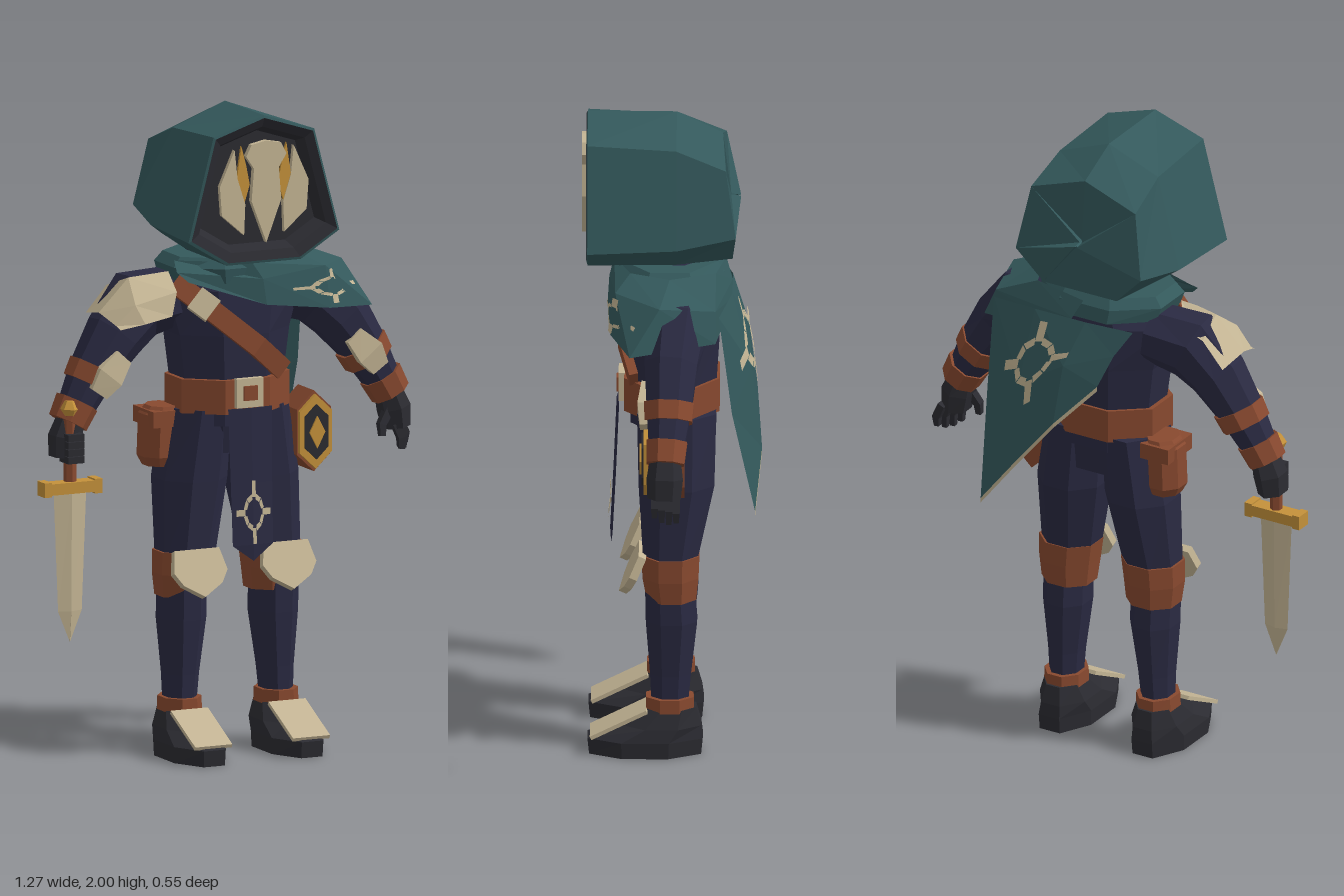
import * as THREE from 'three';

const mat = (name, color) => {
  const m = new THREE.MeshStandardMaterial({ color, flatShading: true, side: THREE.DoubleSide });
  m.name = name;
  return m;
};

// Loft of n-sided rings [x, y, z, lateral radius, depth radius] along a path
function tube(rings, n = 8, upright = false, ph = Math.PI / n) {
  const pos = [], idx = [], k = 1 / Math.cos(ph), Z = new THREE.Vector3(0, 0, 1);
  const P = rings.map(r => new THREE.Vector3(r[0], r[1], r[2]));
  rings.forEach((r, i) => {
    const T = P[Math.min(i + 1, P.length - 1)].clone().sub(P[Math.max(i - 1, 0)]).normalize();
    if (upright) T.set(0, Math.sign(P[P.length - 1].y - P[0].y), 0);
    const U = T.clone().cross(Z).normalize(), W = T.clone().cross(U);
    for (let j = 0; j < n; j++) {
      const a = ph + j / n * Math.PI * 2;
      const v = P[i].clone().addScaledVector(U, Math.cos(a) * k * r[3]).addScaledVector(W, Math.sin(a) * k * r[4]);
      pos.push(v.x, v.y, v.z);
    }
  });
  for (let i = 0; i + 1 < rings.length; i++) for (let j = 0; j < n; j++) {
    const a = i * n + j, b = i * n + (j + 1) % n;
    idx.push(a, b, b + n, a, b + n, a + n);
  }
  const e = (rings.length - 1) * n;
  for (let j = 1; j + 1 < n; j++) idx.push(0, j + 1, j, e, e + j, e + j + 1);
  return build(pos, idx);
}

function build(pos, idx) {
  let g = new THREE.BufferGeometry();
  g.setAttribute('position', new THREE.Float32BufferAttribute(pos, 3));
  g.setIndex(idx);
  g = g.toNonIndexed();
  g.computeVertexNormals();
  return g;
}

// Open surface through rows of points
function sheet(rows) {
  const idx = [], n = rows[0].length;
  for (let r = 0; r + 1 < rows.length; r++) for (let c = 0; c + 1 < n; c++) {
    const a = r * n + c;
    idx.push(a, a + n, a + n + 1, a, a + n + 1, a + 1);
  }
  return build(rows.flat(2), idx);
}

// Point on the surface through rows; u across, v down, both 0..1
function at(rows, u, v, off) {
  const pick = (t, n) => { const f = Math.min(Math.max(t, 0), 0.9999) * (n - 1); return [Math.floor(f), f % 1]; };
  const [r, fr] = pick(v, rows.length), [c, fc] = pick(u, rows[0].length);
  return [0, 1, 2].map(i => {
    const a = rows[r][c][i] * (1 - fc) + rows[r][c + 1][i] * fc;
    const b = rows[r + 1][c][i] * (1 - fc) + rows[r + 1][c + 1][i] * fc;
    return a * (1 - fr) + b * fr + off[i];
  });
}

// Woven star: broken ring with four spokes, laid on a surface
function emblem(rows, cu, cv, ru, rv, off) {
  const pos = [], idx = [];
  const quad = pts => {
    const b = pos.length / 3;
    pts.forEach(([r, a]) => pos.push(...at(rows, cu + Math.cos(a) * r * ru, cv + Math.sin(a) * r * rv, off)));
    idx.push(b, b + 2, b + 1, b, b + 3, b + 2);
  };
  for (let k = 0; k < 4; k++) {
    const a = k * Math.PI / 2;
    quad([[0.5, a - 0.22], [1, a - 0.1], [1, a + 0.1], [0.5, a + 0.22]]);
    for (const d of [0.2, 0.8]) quad([[0.42, a + d], [0.6, a + d], [0.6, a + d + 0.55], [0.42, a + d + 0.55]]);
  }
  return build(pos, idx);
}

function plate(pts, depth) {
  return new THREE.ExtrudeGeometry(new THREE.Shape(pts.map(p => new THREE.Vector2(...p))), { depth, bevelEnabled: false });
}

export function createModel() {
  const navy = mat('navy cloth', 0x2a2a42), teal = mat('teal cloth', 0x34595c), tan = mat('bone plate', 0xc4b594),
    brown = mat('brown leather', 0x88492f), gold = mat('gold', 0xc4913a), dark = mat('charcoal', 0x2b2b31);
  const root = new THREE.Group(), body = new THREE.Group();
  body.name = 'figure';
  body.position.x = 0.02;
  root.add(body);
  const add = (name, geo, m, x = 0, y = 0, z = 0) => {
    const mesh = new THREE.Mesh(geo, m);
    mesh.name = name;
    mesh.position.set(x, y, z);
    body.add(mesh);
    return mesh;
  };
  const box = (...s) => new THREE.BoxGeometry(...s);

  // Torso, hips and belt
  add('torso', tube([[0, 1.02, -0.01, 0.165, 0.13], [0, 1.14, -0.01, 0.165, 0.13], [0, 1.3, -0.01, 0.185, 0.14],
    [0, 1.44, -0.01, 0.225, 0.135], [0, 1.5, -0.01, 0.16, 0.12], [0, 1.58, 0, 0.09, 0.09]], 8, true), navy);
  add('hips', tube([[0, 0.93, -0.02, 0.14, 0.1], [0, 1.08, -0.01, 0.175, 0.13]], 8, true), navy);
  add('belt', tube([[0, 1.06, -0.005, 0.182, 0.145], [0, 1.165, -0.005, 0.182, 0.145]], 8, true), brown);
  add('buckle', box(0.09, 0.09, 0.02), tan, 0, 1.125, 0.147);
  add('buckleCentre', box(0.045, 0.045, 0.008), brown, 0, 1.125, 0.159);
  add('chestStrap', tube([[-0.215, 1.47, 0.07], [-0.12, 1.385, 0.142], [0.03, 1.265, 0.145], [0.13, 1.18, 0.11]]
    .map(p => [...p, 0.032, 0.014]), 4), brown);
  add('strapClasp', tube([[-0.165, 1.425, 0.11, 0.038, 0.018], [-0.12, 1.385, 0.145, 0.038, 0.018]], 4), tan);

  // Front tabard
  const tabard = [[1.08, 0.074, 0.155], [0.85, 0.07, 0.165], [0.66, 0.068, 0.175]]
    .map(([y, w, z]) => [[-w, y, z], [0, y, z + 0.008], [w, y, z]]);
  tabard.push([[-0.067, 0.659, 0.175], [0, 0.61, 0.18], [0.067, 0.659, 0.175]]);
  add('tabard', sheet(tabard), navy);
  add('tabardEmblem', emblem(tabard, 0.5, 0.49, 0.42, 0.17, [0, 0, 0.008]), tan);

  // Hood: outline rings running from the opening to the closed back
  const ring = (half, z, k = 1, cy = 1.77) => {
    const pts = [...half, ...half.slice(1).reverse().map(([x, y, d]) => [-x, y, d])];
    pts.push(pts[0]);
    return pts.map(([x, y, d = 0]) => [-x * k, cy + (y - cy) * k, z + d]);
  };
  const front = [[0, 2], [0.17, 1.945], [0.255, 1.625], [0.125, 1.545]];
  const mid = [[0, 1.998], [0.175, 1.93], [0.25, 1.635], [0.13, 1.55]];
  const back = [[0, 1.93, 0.04], [0.185, 1.87, 0.03], [0.222, 1.665], [0.13, 1.57, 0.01]];
  add('hood', sheet([ring(front, 0.253, 0.96), ring(front, 0.25), ring(mid, -0.02), ring(back, -0.2),
    ring(back, -0.215, 0.02, 1.73)]), teal);
  add('hoodLining', sheet([ring(front, 0.2, 0.02), ring(front, 0.2, 0.76), ring(front, 0.24, 0.84), ring(front, 0.254, 0.965)]), dark);

  // Mask and eyes
  add('maskCentre', plate([[-0.05, 1.915], [0, 1.925], [0.05, 1.915], [0.068, 1.88], [0.042, 1.84], [0.05, 1.74], [0, 1.61],
    [-0.05, 1.74], [-0.042, 1.84], [-0.068, 1.88]], 0.018), tan, 0, 0, 0.25);
  for (const s of [-1, 1]) {
    const flip = pts => pts.map(([x, y]) => [x * s, y]);
    add('maskCheek', plate(flip([[0.1, 1.9], [0.15, 1.79], [0.143, 1.7], [0.068, 1.635], [0.064, 1.73], [0.09, 1.81]]), 0.015), tan, 0, 0, 0.238);
    add('eye', plate(flip([[0.076, 1.91], [0.093, 1.8], [0.07, 1.72], [0.048, 1.79], [0.06, 1.85]]), 0.009), gold, 0, 0, 0.242);
  }

  // Collar and mantle over the left shoulder
  add('collar', tube([[0, 1.47, -0.005, 0.2, 0.165], [0, 1.515, 0, 0.215, 0.165], [0, 1.545, 0, 0.19, 0.145]], 8, true), teal);
  const mantle = [
    [[-0.22, 1.54, 0.08], [0, 1.53, 0.17], [0.18, 1.54, 0.12], [0.24, 1.54, 0], [0.18, 1.54, -0.14], [0, 1.53, -0.17]],
    [[-0.23, 1.51, 0.12], [0.03, 1.48, 0.185], [0.25, 1.5, 0.165], [0.37, 1.49, 0.03], [0.33, 1.47, -0.14], [0.03, 1.47, -0.19]],
    [[-0.2, 1.48, 0.14], [0.04, 1.4, 0.19], [0.26, 1.37, 0.18], [0.43, 1.355, 0.12], [0.37, 1.38, -0.14], [0.03, 1.42, -0.2]]];
  add('mantle', sheet(mantle), teal);
  add('mantleEmblem', emblem(mantle, 0.42, 0.76, 0.14, 0.2, [0.004, 0.005, 0.01]), tan);

  // Slanted half cape with hem
  const cape = [
    [[0.33, 1.45, -0.15], [0.16, 1.47, -0.19], [-0.02, 1.47, -0.19], [-0.17, 1.46, -0.16]],
    [[0.33, 1.14, -0.19], [0.18, 1.24, -0.25], [0.03, 1.33, -0.24], [-0.12, 1.38, -0.19]],
    [[0.31, 0.82, -0.26], [0.18, 0.98, -0.28], [0.05, 1.14, -0.265], [-0.08, 1.28, -0.22]]];
  add('cape', sheet(cape), teal);
  add('capeEmblem', emblem(cape, 0.42, 0.36, 0.25, 0.3, [0, 0, -0.01]), tan);
  add('capeHem', sheet([cape[2], cape[2].map(([x, y, z]) => [x, y - 0.015, z])]), tan);

  // Legs, arms and their guards on both sides
  for (const s of [-1, 1]) {
    const m = rings => rings.map(([x, ...r]) => [x * s, ...r]);
    add('thigh', tube(m([[0.095, 1.07, -0.02, 0.095, 0.12], [0.12, 0.85, -0.02, 0.106, 0.115], [0.145, 0.6, 0, 0.085, 0.08]]), 8, true), navy);
    add('kneeBand', tube(m([[0.15, 0.49, -0.005, 0.08, 0.075], [0.15, 0.56, -0.002, 0.088, 0.085], [0.145, 0.63, -0.002, 0.092, 0.088]]), 8, true), brown);
    const knee = add('kneeGuard', plate([[-0.075, 0.07], [0.075, 0.07], [0.09, 0], [0.065, -0.04], [0, -0.08], [-0.065, -0.04], [-0.09, 0]], 0.025),
      tan, 0.15 * s, 0.57, 0.1);
    knee.rotation.x = -0.42;
    add('shin', tube(m([[0.163, 0.15, 0, 0.046, 0.055], [0.16, 0.25, -0.002, 0.052, 0.062], [0.155, 0.42, -0.005, 0.07, 0.078],
      [0.155, 0.52, 0, 0.07, 0.075]]), 8, true), navy);
    add('ankleBand', tube(m([[0.163, 0.13, 0, 0.062, 0.073], [0.163, 0.178, 0, 0.06, 0.072]]), 8, true), brown);
    add('boot', tube(m([[0.165, 0, 0.075, 0.086, 0.17], [0.165, 0.05, 0.075, 0.088, 0.175], [0.163, 0.09, 0.025, 0.08, 0.12],
      [0.163, 0.145, -0.005, 0.058, 0.075]]), 8, true), dark);
    const toe = add('toePlate', box(0.125, 0.012, 0.19), tan, 0.165 * s, 0.1, 0.155);
    toe.rotation.x = 0.46;

    add('arm', tube(m([[0.17, 1.41, -0.03, 0.085, 0.09], [0.3, 1.395, -0.02, 0.105, 0.09], [0.38, 1.31, -0.005, 0.088, 0.08],
      [0.46, 1.2, 0, 0.068, 0.068], [0.54, 1.06, 0.01, 0.048, 0.048]])), navy);
    add('elbowBand', tube(m([[0.447, 1.215, 0, 0.078, 0.076], [0.475, 1.165, 0.002, 0.074, 0.072]])), brown);
    add('wristBand', tube(m([[0.512, 1.115, 0.006, 0.063, 0.062], [0.545, 1.055, 0.01, 0.058, 0.057]])), brown);
    add('forearmGuard', tube(m([[0.39, 1.255, 0.07, 0.03, 0.014], [0.44, 1.2, 0.08, 0.045, 0.016], [0.475, 1.15, 0.074, 0.03, 0.014]]), 4), tan);
    add('hand', tube(m([[0.535, 1.07, 0.01, 0.036, 0.04], [0.555, 1.01, 0.012, 0.045, 0.048], [0.562, 0.95, 0.014, 0.038, 0.044]]), 6), dark);
  }

  // Open left hand, and right hand closed on the grip
  for (let i = 0; i < 4; i++) {
    const z = 0.043 - i * 0.022, x = 0.545 + i * 0.015;
    add('finger', tube([[x, 0.965, z, 0.012, 0.011], [x + 0.02, 0.92, z, 0.012, 0.011], [x + 0.018, 0.875 + Math.abs(i - 1.5) * 0.01, z, 0.008, 0.008]], 4), dark);
    add('grippingFinger', box(0.055, 0.021, 0.06), dark, -0.55, 0.95 + i * 0.023, 0.05);
  }
  add('thumb', tube([[0.53, 1.01, 0.03, 0.014, 0.014], [0.5, 0.965, 0.04, 0.012, 0.012], [0.5, 0.93, 0.045, 0.009, 0.009]], 4), dark);

  // Short sword
  const sx = -0.555, sz = 0.045;
  add('swordGrip', tube([[sx, 0.86, sz, 0.017, 0.017], [sx, 1.1, sz, 0.017, 0.017]], 6), brown);
  add('swordPommel', tube([[sx, 1.085, sz, 0.02, 0.02], [sx, 1.105, sz, 0.028, 0.028], [sx, 1.13, sz, 0.014, 0.014]], 6), gold);
  add('swordGuard', box(0.16, 0.035, 0.05), gold, sx, 0.863, sz);
  for (const s of [-1, 1]) add('guardTip', box(0.025, 0.045, 0.052), gold, sx + s * 0.085, 0.863, sz);
  add('swordBlade', tube([[sx, 0.85, sz, 0.055, 0.014], [sx, 0.48, sz, 0.04, 0.011], [sx, 0.385, sz, 0.001, 0.001]], 4, false, 0), tan);

  // Right shoulder guard
  add('shoulderGuard', sheet([
    [[-0.44, 1.37, -0.08], [-0.37, 1.45, -0.08], [-0.3, 1.47, -0.07]],
    [[-0.45, 1.39, 0.03], [-0.35, 1.49, 0.03], [-0.22, 1.5, 0.04]],
    [[-0.43, 1.36, 0.11], [-0.37, 1.42, 0.12], [-0.23, 1.45, 0.12]],
    [[-0.425, 1.35, 0.13], [-0.35, 1.365, 0.148], [-0.255, 1.38, 0.14]]]), tan);

  // Hip pouches: hexagonal with a gilt front on the left, plain on the right
  const hex = k => [[0, 0.125], [0.058, 0.07], [0.058, -0.07], [0, -0.125], [-0.058, -0.07], [-0.058, 0.07]].map(([x, y]) => [x * k, y * k]);
  add('leftPouch', plate(hex(1), 0.11), brown, 0.26, 0.97, -0.045);
  add('pouchFrame', plate(hex(0.92), 0.014), gold, 0.26, 0.97, 0.065);
  add('pouchPanel', plate(hex(0.68), 0.006), dark, 0.26, 0.97, 0.079);
  add('pouchGem', plate([[0, 0.05], [0.026, 0], [0, -0.05], [-0.026, 0]], 0.006), gold, 0.26, 0.97, 0.085);
  add('rightPouch', tube([[-0.215, 0.89, -0.04, 0.045, 0.05], [-0.22, 0.92, -0.04, 0.055, 0.065], [-0.215, 1.05, -0.04, 0.055, 0.065],
    [-0.205, 1.075, -0.04, 0.045, 0.055]], 8, true), brown);
  add('pouchFlap', box(0.1, 0.05, 0.14), brown, -0.215, 1.04, -0.04);
  return root;
}
